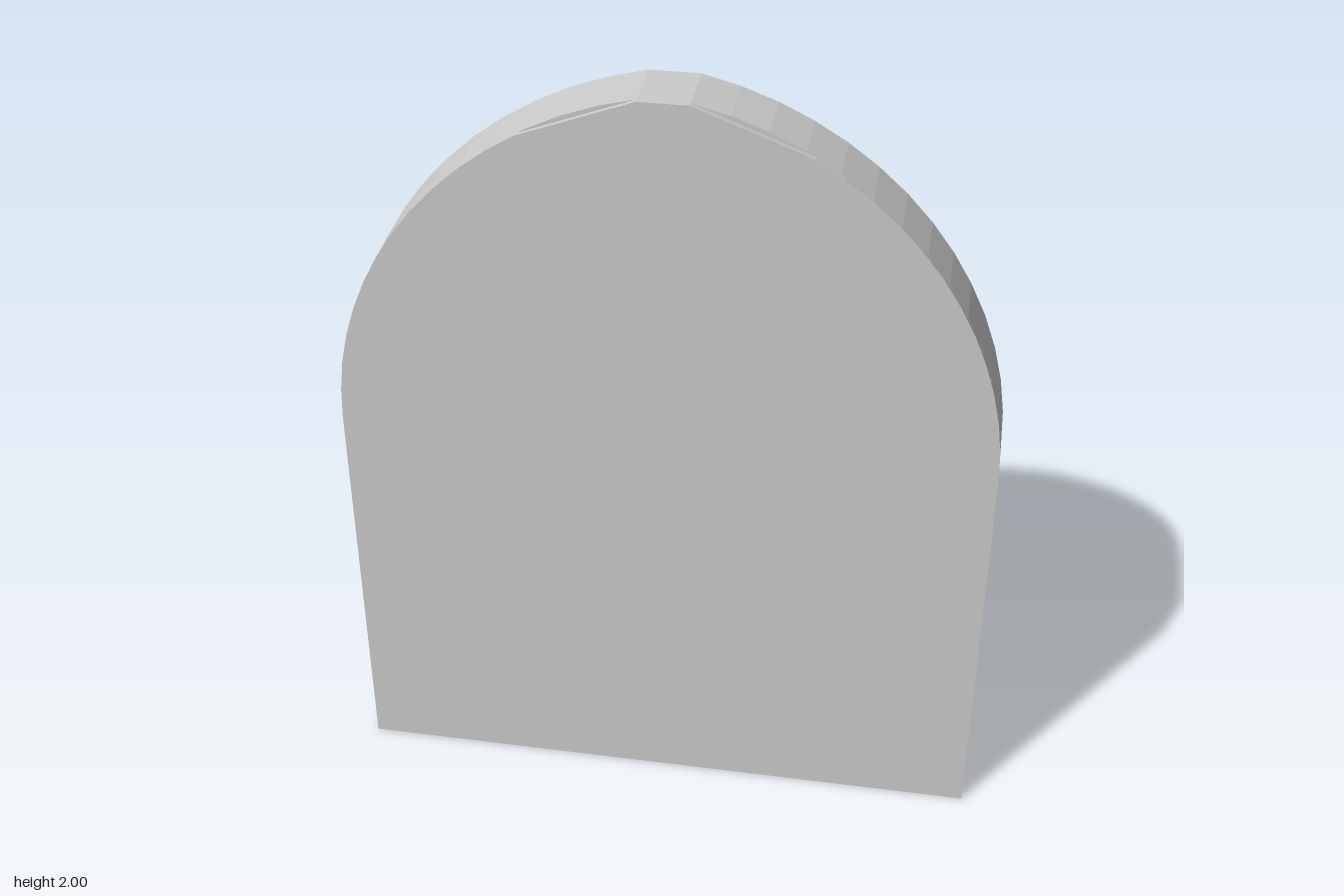
import * as THREE from 'three';

const stone = new THREE.MeshStandardMaterial({ color: 0xcccccc });
stone.name = 'stone grey';

// Two-centred arch outline with a small flat crown, 1.63 wide and 2 high at scale 1
function archPoints(scale = 1, x0 = 0, y0 = 0, steps = 14, lastX = 0.06) {
  const spring = 1.07, c = 0.1355, R = 0.9505;
  const end = Math.acos((lastX + c) / R);
  const half = [[0.815, 0]];
  for (let i = 0; i <= steps; i++) {
    const a = (end * i) / steps;
    half.push([R * Math.cos(a) - c, spring + R * Math.sin(a)]);
  }
  if (lastX > 0.06) half.push([0.06, 2]);
  const mirrored = half.map(([x, y]) => [-x, y]).reverse();
  return [...half, ...mirrored].map(
    ([x, y]) => new THREE.Vector2(x0 + x * scale, y0 + Math.min(y, 2) * scale));
}

function addMesh(parent, name, geometry, x = 0, y = 0, z = 0) {
  const mesh = new THREE.Mesh(geometry, stone);
  mesh.name = name;
  mesh.position.set(x, y, z);
  parent.add(mesh);
  return mesh;
}

const extrude = (shape, depth) =>
  new THREE.ExtrudeGeometry(shape, { depth, bevelEnabled: false });

// Faceted turned vessel from [radius, height] pairs
function turned(profile, sides = 10) {
  const pts = profile.map(([r, y]) => new THREE.Vector2(r, y));
  const geometry = new THREE.LatheGeometry(pts, sides).toNonIndexed();
  geometry.computeVertexNormals();
  return geometry;
}

const vase = turned([[0, 0], [0.034, 0], [0.05, 0.085], [0.047, 0.1], [0.034, 0.135], [0, 0.135]]);
const bowl = turned([[0, 0], [0.014, 0], [0.014, 0.008], [0.03, 0.018], [0.03, 0.024], [0.014, 0.02], [0, 0.02]]);
const jar = turned([[0, 0], [0.02, 0], [0.031, 0.025], [0.031, 0.045], [0.019, 0.062], [0.022, 0.078], [0, 0.078]]);
const bottle = turned([[0, 0], [0.032, 0], [0.045, 0.035], [0.045, 0.07], [0.026, 0.092],
  [0.026, 0.104], [0.031, 0.106], [0.031, 0.12], [0, 0.12]]);

// Solid block stepping down toward -x
function stairGeometry() {
  const steps = 4, run = 0.024, rise = 0.0235;
  const shape = new THREE.Shape();
  shape.moveTo(0.07, 0);
  shape.lineTo(0.07, steps * rise);
  for (let i = 0; i < steps; i++) {
    const x = -0.06 - i * run;
    shape.lineTo(x, (steps - i) * rise);
    shape.lineTo(x, (steps - i - 1) * rise);
  }
  return extrude(shape, 0.1);
}
const stairs = stairGeometry();

const fillings = {
  vaseAndBowl(g) {
    addMesh(g, 'vase', vase, 0.087, 0, 0);
    addMesh(g, 'bowl', bowl, 0.005, 0, 0);
  },
  vaseAndBurner(g) {
    fillings.vaseAndBowl(g);
    addMesh(g, 'burnerSpike', turned([[0.013, 0], [0.012, 0.025], [0, 0.05]], 8), 0.005, 0.018, 0);
  },
  jars(g) {
    addMesh(g, 'smallJar', jar, 0.073, 0, 0);
    addMesh(g, 'bottle', bottle, -0.048, 0, 0);
  },
  stairs(g) {
    addMesh(g, 'miniatureStairs', stairs, 0, 0, -0.07);
  },
};

// Niche layout: x, floor height, contents
const niches = [
  [0, 1.272, 'vaseAndBowl'],
  [0.466, 0.763, 'stairs'],
  [0, 0.763, 'jars'],
  [-0.466, 0.763, 'vaseAndBowl'],
  [0.466, 0.252, 'jars'],
  [0, 0.252, 'vaseAndBurner'],
  [-0.466, 0.252, 'stairs'],
];

export function createModel() {
  const model = new THREE.Group();
  model.name = 'nicheWall';

  // Arched wall pierced by the niches
  const wall = new THREE.Shape(archPoints());
  for (const [x, y] of niches) wall.holes.push(new THREE.Path(archPoints(0.202, x, y, 10).reverse()));
  addMesh(model, 'wall', extrude(wall, 0.152), 0, 0, -0.077);

  // Thin panel closing the niches, cut straight near the crown
  const panel = new THREE.Shape(archPoints(1, 0, 0, 12, 0.34));
  addMesh(model, 'closingPanel', extrude(panel, 0.012), 0, 0, 0.075);

  // Narrow moulding below the lowest niches
  addMesh(model, 'ledge', new THREE.BoxGeometry(1.63, 0.03, 0.014), 0, 0.215, -0.08);

  // Niche contents
  for (const [x, y, kind] of niches) {
    const group = new THREE.Group();
    group.name = 'nicheContents';
    group.position.set(x, y, 0);
    fillings[kind](group);
    model.add(group);
  }
  return model;
}
